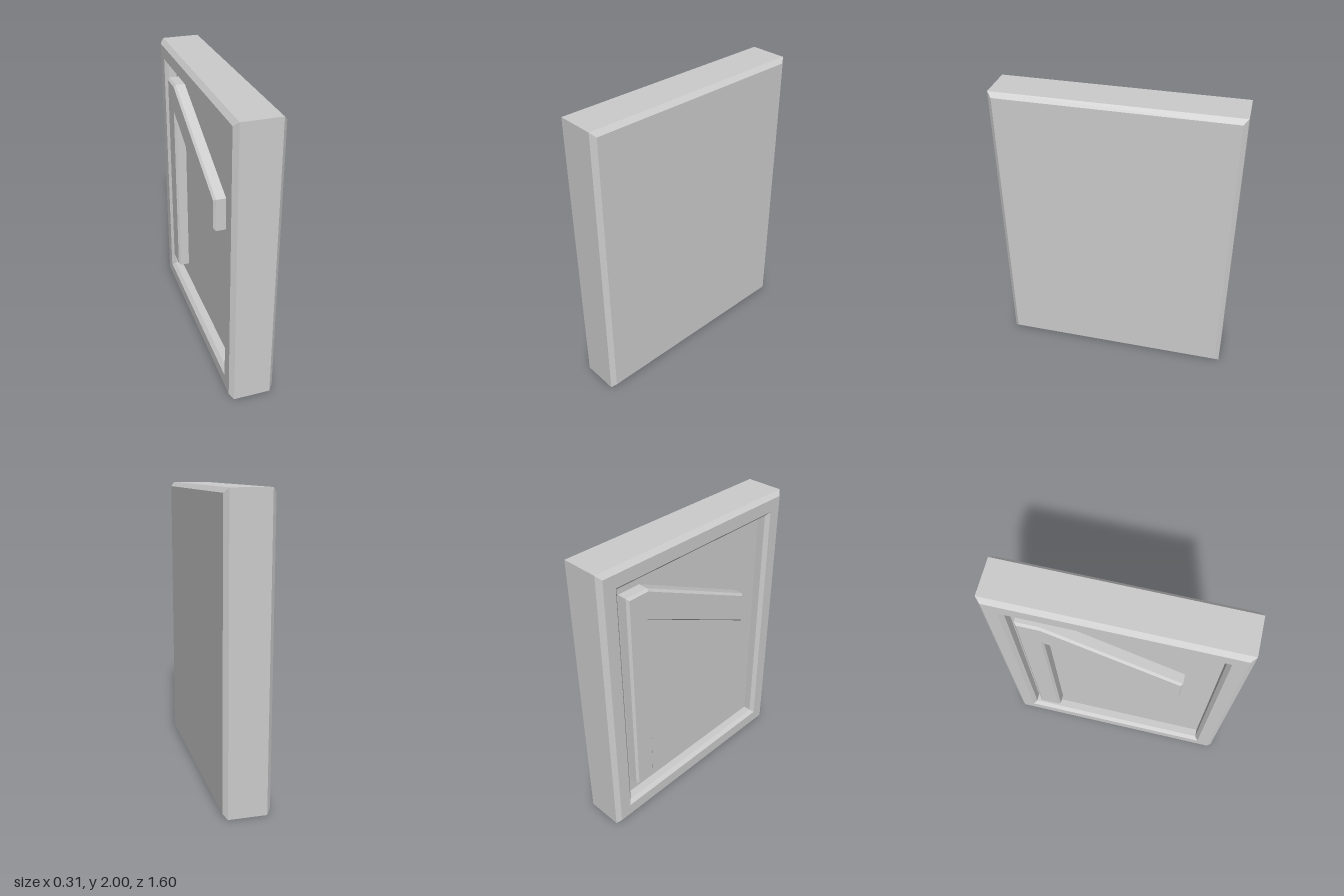
import * as THREE from 'three';

const HALF_DEPTH = 0.155, HALF_WIDTH = 0.8, HEIGHT = 2;

// Rectangle in the y-z plane at depth x, drawn in from the outer edge by inset
function ring([x, inset]) {
  const w = HALF_WIDTH - inset, bottom = inset, top = HEIGHT - inset;
  return [[x, bottom, w], [x, bottom, -w], [x, top, -w], [x, top, w]];
}

// Closed body: flat +x face, chamfered rim, recess on the -x side
function frameGeometry() {
  const rings = [
    [HALF_DEPTH, 0.03], [0.127, 0], [-0.127, 0], [-HALF_DEPTH, 0.03], // outside
    [-HALF_DEPTH, 0.117], [-0.13, 0.142], [-0.075, 0.142],            // rim and recess wall
  ].map(ring);
  const positions = [];
  const quad = (a, b, c, d) => positions.push(...a, ...b, ...c, ...a, ...c, ...d);
  quad(...rings[0]);
  for (let i = 0; i < rings.length - 1; i++) {
    const a = rings[i], b = rings[i + 1];
    for (let k = 0; k < 4; k++) {
      const n = (k + 1) % 4;
      quad(a[k], b[k], b[n], a[n]);
    }
  }
  quad(...rings[rings.length - 1].slice().reverse());
  const geometry = new THREE.BufferGeometry();
  geometry.setAttribute('position', new THREE.Float32BufferAttribute(positions, 3));
  geometry.computeVertexNormals();
  return geometry;
}

// Upright bar with a sloping arm, folded flat in the recess
function standGeometry() {
  const outline = [
    [-0.605, 0.265], [-0.445, 0.265], [-0.445, 1.56], [0.45, 1.125],
    [0.45, 1.35], [-0.44, 1.775], [-0.605, 1.775],
  ].map(([z, y]) => new THREE.Vector2(z, y));
  return new THREE.ExtrudeGeometry(new THREE.Shape(outline), {
    depth: 0.09, bevelEnabled: true, bevelSegments: 1,
    bevelThickness: 0.015, bevelSize: 0.015, bevelOffset: -0.015,
  });
}

export function createModel() {
  const model = new THREE.Group();
  model.name = 'pictureFrame';
  const material = new THREE.MeshStandardMaterial({ color: 0xcccccc, flatShading: true });

  const frame = new THREE.Mesh(frameGeometry(), material);
  frame.name = 'frame';

  const stand = new THREE.Mesh(standGeometry(), material);
  stand.name = 'stand';
  stand.rotation.y = -Math.PI / 2; // extrude toward -x
  stand.position.x = -0.05;

  model.add(frame, stand);
  return model;
}
